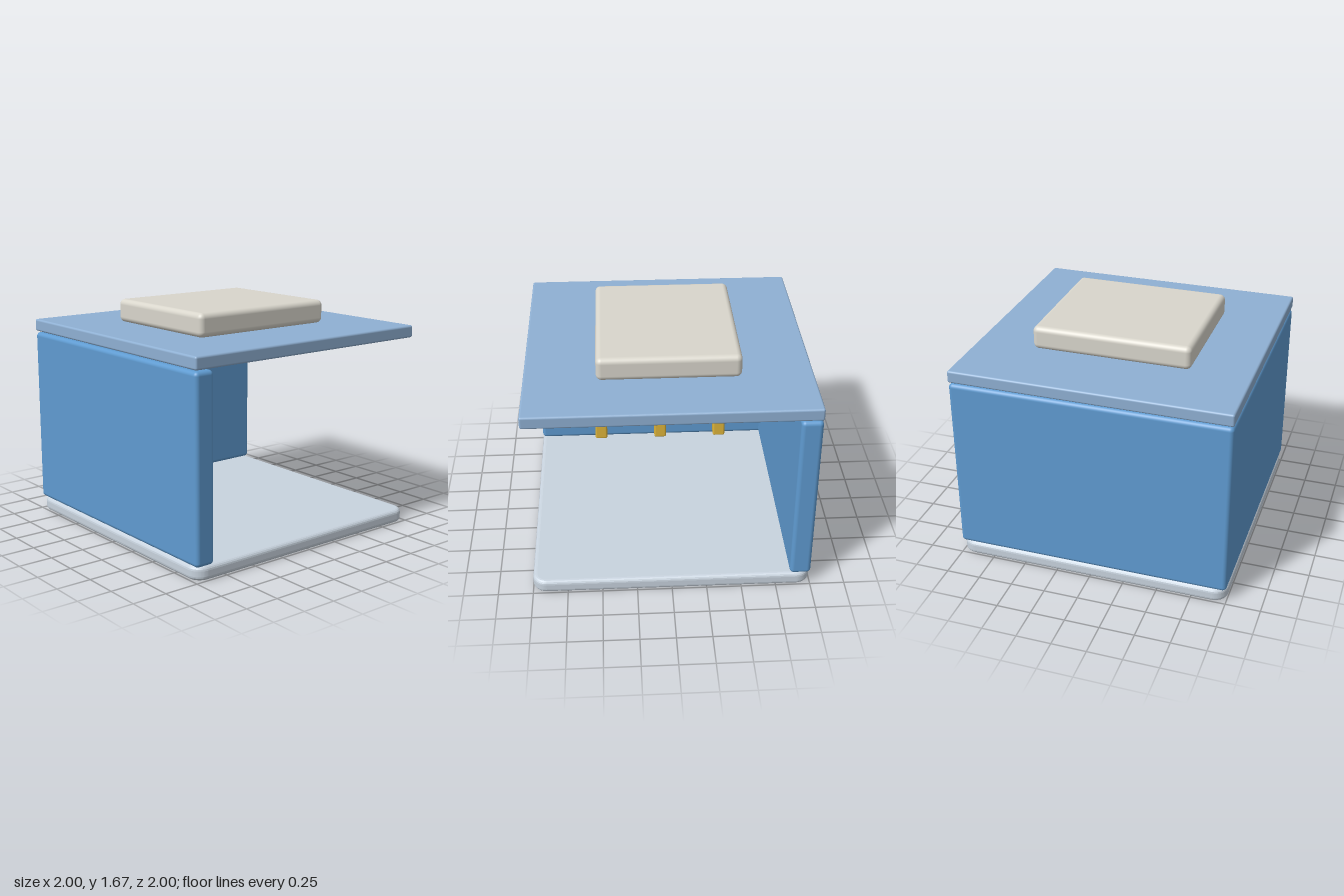
import * as THREE from 'three';
import { RoundedBoxGeometry } from 'three/addons/geometries/RoundedBoxGeometry.js';

const paint = (color) => new THREE.MeshStandardMaterial({ color });

export function createModel() {
  const model = new THREE.Group();
  const blue = paint(0x5f9bd1);
  const yellow = paint(0xdfb53a);

  // Rounded slab given by its size, edge radius and centre
  function slab(name, [w, h, d], radius, [x, y, z], material) {
    const mesh = new THREE.Mesh(new RoundedBoxGeometry(w, h, d, 4, radius), material);
    mesh.name = name;
    mesh.position.set(x, y, z);
    model.add(mesh);
  }

  // Floor plate: wide plan corners with a small bevel all round
  const bevel = 0.03, corner = 0.1, half = 1 - bevel;
  const r = corner - bevel, c = half - r;
  const plan = new THREE.Shape();
  plan.absarc(c, c, r, 0, Math.PI / 2);
  plan.absarc(-c, c, r, Math.PI / 2, Math.PI);
  plan.absarc(-c, -c, r, Math.PI, Math.PI * 1.5);
  plan.absarc(c, -c, r, Math.PI * 1.5, Math.PI * 2);
  const floorGeometry = new THREE.ExtrudeGeometry(plan, {
    depth: 0.1 - 2 * bevel, bevelEnabled: true, bevelSize: bevel,
    bevelThickness: bevel, bevelSegments: 4, curveSegments: 8,
  });
  floorGeometry.rotateX(-Math.PI / 2).translate(0, bevel, 0);
  const floor = new THREE.Mesh(floorGeometry, paint(0xc8d3de));
  floor.name = 'floor';
  model.add(floor);

  // Two walls meeting in the back corner; front and left stay open
  slab('backWall', [2, 1.3, 0.15], 0.03, [0, 0.75, -0.925], blue);
  slab('rightWall', [0.15, 1.3, 2], 0.03, [-0.925, 0.75, 0], blue);

  // Studs on the inside of the right wall
  for (const z of [0.5, 0, -0.5]) {
    slab('wallStud', [0.1, 1.25, 0.1], 0.015, [-0.82, 0.75, z], yellow);
  }

  // Roof plate and the unit on top of it
  slab('roof', [2, 0.09, 2], 0.015, [0, 1.455, 0], paint(0x8fb0d3));
  slab('roofUnit', [1.15, 0.17, 1], 0.04, [0, 1.585, 0], paint(0xd9d6cc));

  return model;
}
